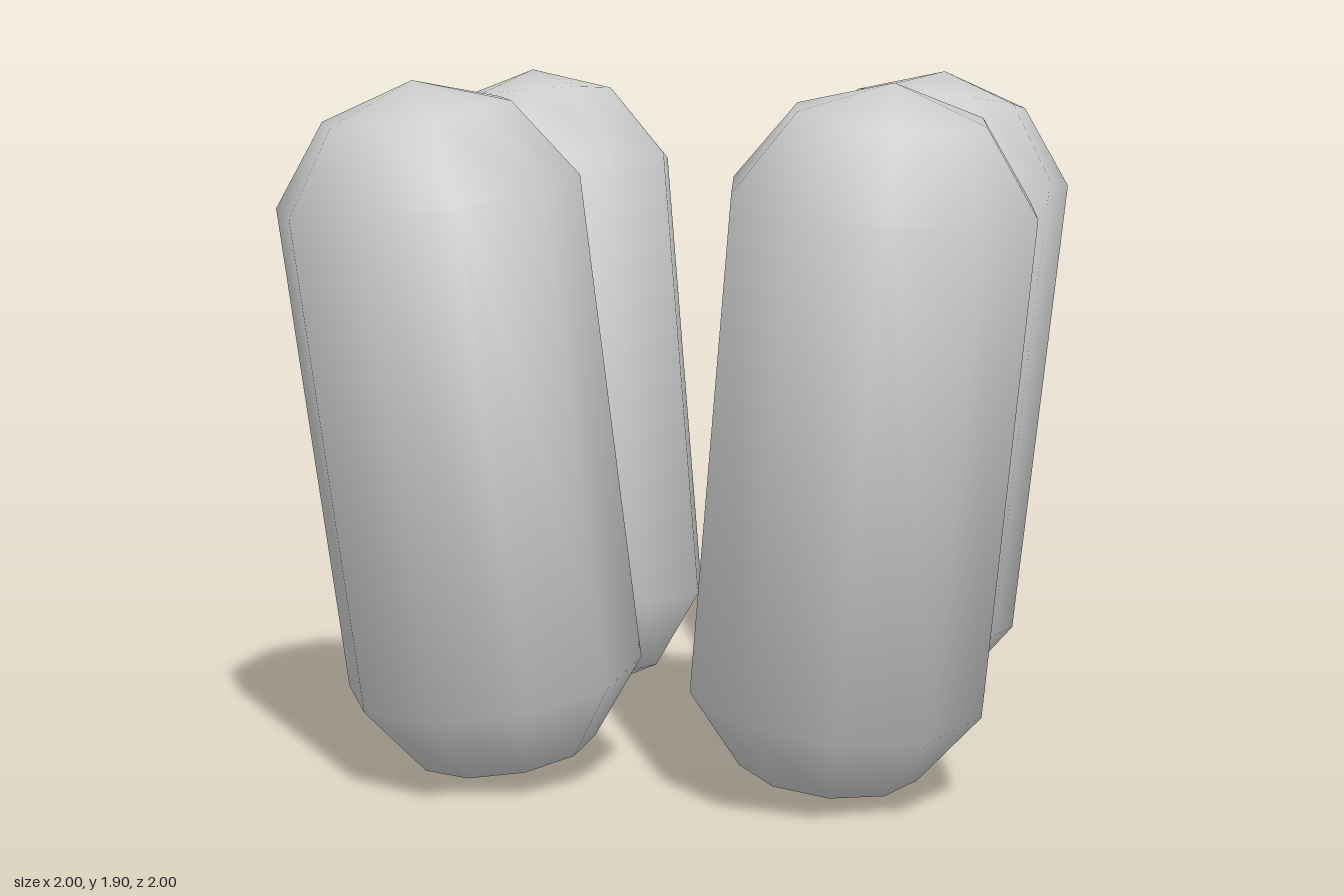
import * as THREE from 'three';

const RADIUS = 0.425;      // radius of the rounded ends
const HALF_LENGTH = 0.96;  // axis half length, pole to pole
const TILT = 0.1405;       // outward lean
const SPREAD = 0.757;      // distance of each capsule from the centre

// Ten-sided sphere whose two halves are pulled apart into a capsule
function capsuleGeometry() {
  const geometry = new THREE.SphereGeometry(RADIUS, 10, 5);
  const pos = geometry.attributes.position;
  const shift = HALF_LENGTH - RADIUS;
  for (let i = 0; i < pos.count; i++) {
    pos.setY(i, pos.getY(i) + Math.sign(pos.getY(i)) * shift);
  }
  return geometry;
}

export function createModel() {
  const model = new THREE.Group();
  model.name = 'capsuleCluster';
  const geometry = capsuleGeometry();
  const material = new THREE.MeshStandardMaterial({ color: 0xcccccc });
  const names = ['backLeft', 'backRight', 'frontRight', 'frontLeft'];

  // Four capsules on the diagonals, tops leaning outward
  names.forEach((name, i) => {
    const arm = new THREE.Group();
    arm.name = name + 'Arm';
    arm.rotation.y = Math.PI / 4 + i * Math.PI / 2;
    const capsule = new THREE.Mesh(geometry, material);
    capsule.name = name + 'Capsule';
    capsule.position.set(SPREAD, HALF_LENGTH * Math.cos(TILT), 0);
    capsule.rotation.z = -TILT;
    arm.add(capsule);
    model.add(arm);
  });
  return model;
}
